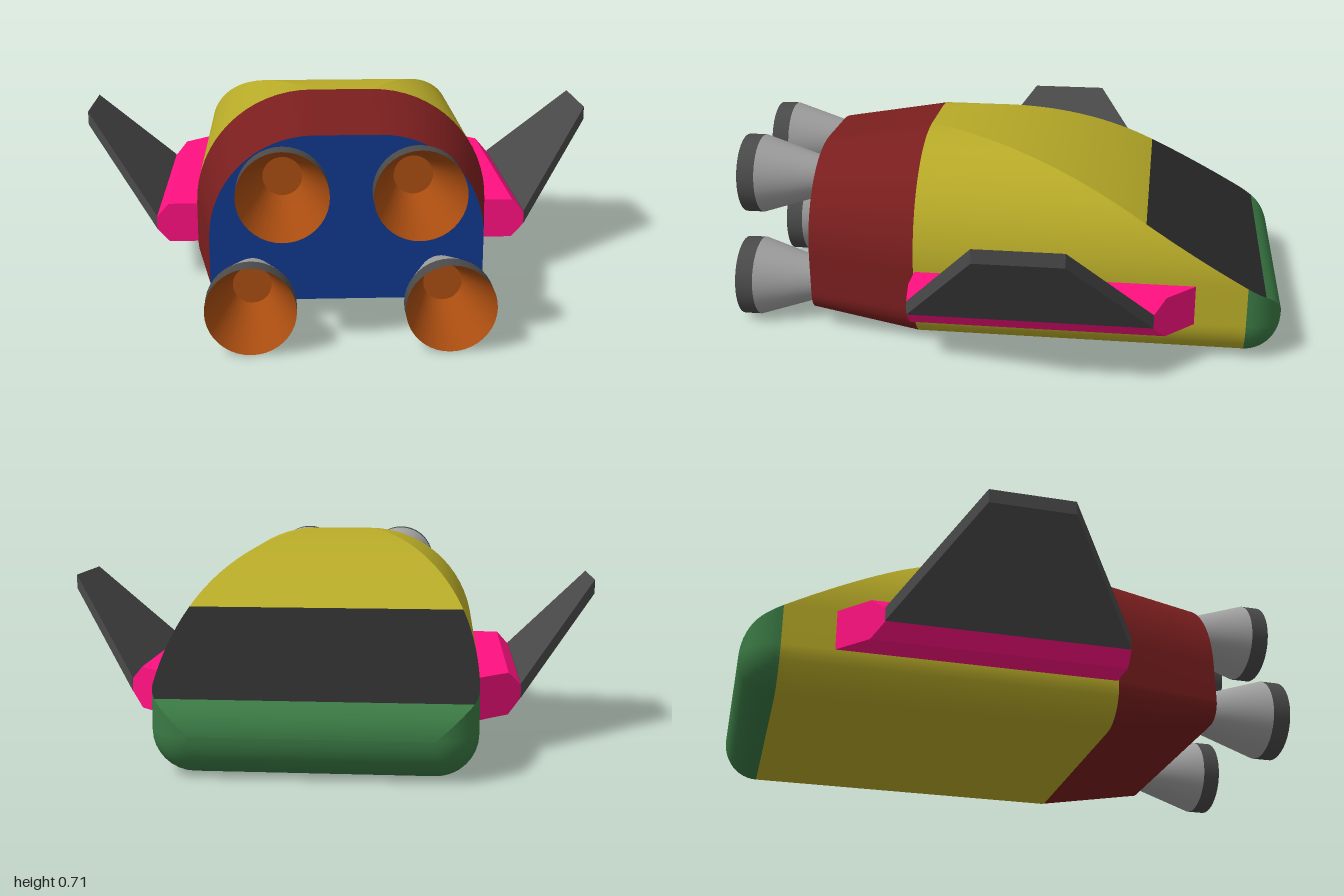
import * as THREE from 'three';

const mat = (color) => new THREE.MeshStandardMaterial({ color });
const yellow = mat(0xb8ab28), red = mat(0x7a1e1e), green = mat(0x3a7a44), black = mat(0x282828);
const blue = mat(0x10388c), pink = mat(0xff1080), dark = mat(0x4a4a4a);
const grey = mat(0xa0a0a0), orange = mat(0xa84c10);

const add = (parent, name, geometry, material) => {
  const mesh = new THREE.Mesh(geometry, material);
  mesh.name = name;
  parent.add(mesh);
  return mesh;
};

// Height of the roof line: an arc running into a straight sloping windscreen
function roof(z) {
  if (z >= 0.31) return 0.72;
  if (z >= -0.51) return 0.72 - 1.63 + Math.sqrt(1.63 ** 2 - (0.31 - z) ** 2);
  return 0.499 + (z + 0.51) * 0.567;
}

// Open hull outline, from the left roof edge under the belly to the right roof edge,
// inset by d and cut off flat at the given top height
function section(z, d, top) {
  const half = [], R = 0.42 - d, r = 0.14 - d;
  const end = Math.asin(THREE.MathUtils.clamp((top - 0.3) / R, 0, 1));
  for (let i = 16; i >= 0; i--) {
    const a = (end * i) / 16;
    half.push([0.11 + R * Math.cos(a), Math.min(top, 0.3 + R * Math.sin(a)), z]);
  }
  for (let i = 0; i <= 8; i++) {
    const a = (Math.PI / 2) * (i / 8);
    half.push([0.39 + r * Math.cos(a), 0.15 - r * Math.sin(a), z]);
  }
  return [...half, ...half.map(([x, y]) => [-x, y, z]).reverse()];
}

// The flat roof strip closing a section, right edge to left edge
const lid = (s) => [s[s.length - 1], s[0]];

// Surface through rows of points, rows running from rear to nose
function loft(rows) {
  const n = rows[0].length, index = [];
  for (let i = 0; i < rows.length - 1; i++) {
    for (let j = 0; j < n - 1; j++) {
      const a = i * n + j, b = a + 1, c = b + n, d = a + n;
      index.push(a, b, c, a, c, d);
    }
  }
  const g = new THREE.BufferGeometry();
  g.setAttribute('position', new THREE.Float32BufferAttribute(rows.flat(2), 3));
  g.setIndex(index);
  g.computeVertexNormals();
  return g;
}

const steps = (n, f) => Array.from({ length: n + 1 }, (_, i) => f(i / n));

function buildHull(group) {
  const at = (z) => section(z, 0, roof(z));
  const rear = steps(24, (t) => at(0.31 - 0.82 * t));
  const front = steps(8, (t) => at(-0.51 - 0.36 * t));
  add(group, 'hullSides', loft([...rear, ...front.slice(1)]), yellow);
  add(group, 'hullRoof', loft(rear.map(lid)), yellow);

  // Rounded nose, with the windscreen slope cutting into its upper edge
  const nose = steps(12, (t) => {
    const a = (t * Math.PI) / 2, z = -0.87 - 0.13 * Math.sin(a), c = Math.cos(a);
    return section(z, 0.14 * (1 - c), t <= 0.34 ? roof(z) : 0.15 + 0.124 * c);
  });
  add(group, 'noseShell', loft(nose), green);
  add(group, 'noseTop', loft(nose.slice(4).map(lid)), green);
  add(group, 'windscreen', loft([...front, ...nose.slice(1, 5)].map(lid)), black);

  // Tapered engine section and its rear bulkhead
  const tail = section(0.71, 0.067, 0.653);
  const taper = [tail, at(0.31)];
  add(group, 'engineSection', loft(taper), red);
  add(group, 'engineSectionRoof', loft(taper.map(lid)), red);
  const outline = new THREE.Shape(tail.map(([x, y]) => new THREE.Vector2(x, y)));
  add(group, 'rearBulkhead', new THREE.ShapeGeometry(outline).translate(0, 0, 0.71), blue);
}

const extrude = (pts, depth) => new THREE.ExtrudeGeometry(
  new THREE.Shape(pts.map(([x, y]) => new THREE.Vector2(x, y))), { depth, bevelEnabled: false });

// Moves every vertex by a rule
function bend(g, rule) {
  const p = g.attributes.position, v = new THREE.Vector3();
  for (let i = 0; i < p.count; i++) {
    v.fromBufferAttribute(p, i);
    rule(v);
    p.setXYZ(i, v.x, v.y, v.z);
  }
  g.computeVertexNormals();
  return g;
}

function buildWing() {
  const wing = new THREE.Group();
  // Side rail with chamfered outer edge and swept front end
  const rail = extrude([[0.5, 0.15], [0.635, 0.15], [0.68, 0.2], [0.68, 0.245],
    [0.635, 0.295], [0.5, 0.295]], 1);
  add(wing, 'sideRail', bend(rail, (v) => {
    v.z = v.z > 0.5 ? 0.305 : -0.69 + (v.x - 0.53) * 0.95;
  }), pink);
  // Trapezoid fin, drawn in plan and sheared upwards
  const fin = extrude([[0.68, -0.305], [0.955, -0.03], [0.955, 0.27], [0.68, 0.55]], 0.05);
  fin.rotateX(-Math.PI / 2);
  add(wing, 'fin', bend(fin, (v) => { v.y += 0.2 + (v.x - 0.68) * 1.2; }), dark);
  return wing;
}

// Surface of revolution around z from [radius, z] pairs
const turned = (pts) => new THREE.LatheGeometry(
  pts.map(([r, z]) => new THREE.Vector2(r, z)), 40).rotateX(Math.PI / 2);

function buildNozzle() {
  const nozzle = new THREE.Group();
  add(nozzle, 'nozzleBell', turned([[0.072, 0.7], [0.147, 0.935]]), grey);
  add(nozzle, 'nozzleRing', turned([[0.147, 0.935], [0.147, 1]]), dark);
  add(nozzle, 'nozzleInside', turned([[0.147, 1], [0.065, 0.76]]), orange);
  add(nozzle, 'nozzleThroat', new THREE.CircleGeometry(0.065, 40).translate(0, 0, 0.76), orange);
  return nozzle;
}

export function createModel() {
  const model = new THREE.Group();
  model.name = 'spaceShuttle';
  const hull = new THREE.Group();
  hull.name = 'hull';
  buildHull(hull);
  model.add(hull);

  for (const [side, s] of [['left', 1], ['right', -1]]) {
    const wing = buildWing();
    wing.name = side + 'Wing';
    wing.scale.x = s;
    model.add(wing);
    for (const [level, x, y] of [['Upper', 0.215, 0.53], ['Lower', 0.32, 0.153]]) {
      const nozzle = buildNozzle();
      nozzle.name = side + level + 'Nozzle';
      nozzle.position.set(s * x, y, 0);
      model.add(nozzle);
    }
  }
  return model;
}
